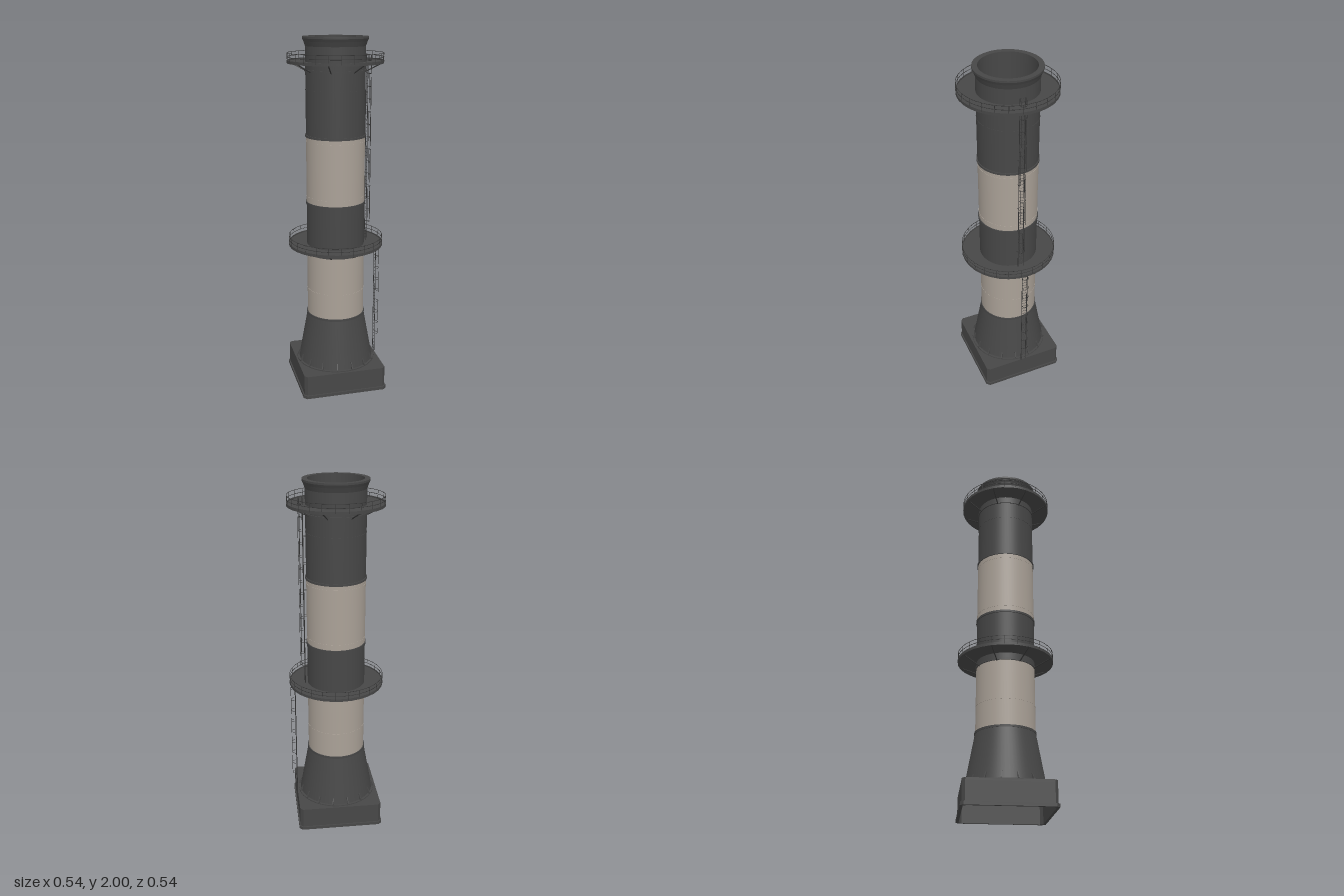
import * as THREE from 'three';
import { mergeGeometries } from 'three/addons/utils/BufferGeometryUtils.js';

const mat = (name, color, side = THREE.FrontSide) =>
  new THREE.MeshStandardMaterial({ name, color, side });

export function createModel() {
  const model = new THREE.Group();
  model.name = 'chimney';
  const dark = mat('dark grey', 0x474747);
  const pale = mat('pale stone', 0xaaa197);
  const steel = mat('steel', 0x363636);

  const add = (name, geometry, material, parent = model) => {
    const mesh = new THREE.Mesh(geometry, material);
    mesh.name = name;
    parent.add(mesh);
    return mesh;
  };

  // Turned part with sharp profile corners, smooth around the axis
  const turned = (points, segments = 64) => mergeGeometries(
    points.slice(1).map((p, i) => new THREE.LatheGeometry(
      [new THREE.Vector2(...points[i]), new THREE.Vector2(...p)], segments)));

  // Rectangular ring
  const ring = (r0, r1, y0, y1, segments) =>
    turned([[r0, y0], [r1, y0], [r1, y1], [r0, y1], [r0, y0]], segments);

  // Thin round bar between two points
  const bar = (a, b, r = 0.0015) => {
    const from = new THREE.Vector3(...a), to = new THREE.Vector3(...b);
    const d = to.clone().sub(from);
    const g = new THREE.CylinderGeometry(r, r, d.length(), 5);
    g.applyQuaternion(new THREE.Quaternion().setFromUnitVectors(
      new THREE.Vector3(0, 1, 0), d.normalize()));
    return g.translate(...from.add(to).multiplyScalar(0.5).toArray());
  };

  const polar = (r, y, a) => [r * Math.cos(a), y, r * Math.sin(a)];

  // Square slab with cut corners, optionally hollow
  const outline = (s, c) => [[-s + c, -s], [s - c, -s], [s, -s + c], [s, s - c],
    [s - c, s], [-s + c, s], [-s, s - c], [-s, -s + c]].map(p => new THREE.Vector2(...p));
  const slab = (s, c, y0, y1, inner) => {
    const shape = new THREE.Shape(outline(s, c));
    if (inner) shape.holes.push(new THREE.Path(outline(inner, c).reverse()));
    return new THREE.ExtrudeGeometry(shape, { depth: y1 - y0, bevelEnabled: false })
      .rotateX(-Math.PI / 2).translate(0, y0, 0);
  };

  // Hollow square base
  add('baseWalls', slab(0.238, 0.016, 0, 0.122, 0.23), dark);
  add('baseTop', slab(0.238, 0.016, 0.122, 0.135), dark);
  add('baseLip', slab(0.245, 0.018, 0, 0.018, 0.237), dark);

  // Foot cone and coloured shaft bands
  add('footFlange', ring(0.2, 0.228, 0.135, 0.141), dark);
  add('footCone', turned([[0.217, 0.135], [0.164, 0.43]]), dark);
  const R = 0.163;
  add('lowerPaleBand', turned([[R, 0.43], [R, 0.81]]), pale);
  add('middleDarkBand', turned([[R, 0.81], [R, 1.095]]), dark);
  add('upperPaleBand', turned([[R, 1.095], [R, 1.467]]), pale);
  add('topDarkBand', turned([[R, 1.467], [R, 1.95], [0.172, 1.975], [0.179, 1.99],
    [0.179, 2], [0.15, 2], [0.15, 0.136]]), dark);
  for (const y of [0.428, 0.806, 1.093, 1.47])
    add('jointRing', ring(R - 0.005, 0.168, y - 0.006, y + 0.006), dark);
  for (const [y, m] of [[0.58, pale], [1.13, pale], [1.44, pale], [1.72, dark]])
    add('weldSeam', ring(R - 0.003, R + 0.0012, y - 0.002, y + 0.002), m);

  // Triangular gussets around the foot
  const gusset = new THREE.Shape([[0.2, 0], [0.228, 0], [0.228, 0.008], [0.212, 0.042], [0.2, 0.042]]
    .map(p => new THREE.Vector2(...p)));
  const gussets = [];
  for (let i = 0; i < 16; i++) {
    gussets.push(new THREE.ExtrudeGeometry(gusset, { depth: 0.006, bevelEnabled: false })
      .translate(0, 0.138, -0.003).rotateY((i + 0.5) * Math.PI / 8));
  }
  add('gussets', mergeGeometries(gussets), dark);

  // Round service platforms with railing and struts
  const platform = (name, y, r) => {
    const g = new THREE.Group();
    g.name = name;
    model.add(g);
    add('deck', ring(R - 0.005, r, y - 0.006, y + 0.002, 32), dark, g);
    add('toePlate', ring(r - 0.003, r, y, y + 0.01, 32), dark, g);
    add('collar', ring(R - 0.005, 0.169, y - 0.048, y - 0.038), dark, g);
    const bars = [], struts = [];
    for (const h of [0.027, 0.048])
      bars.push(new THREE.TorusGeometry(r - 0.002, 0.0015, 5, 48)
        .rotateX(Math.PI / 2).translate(0, y + h, 0));
    for (let i = 0; i < 24; i++) {
      const a = (i + 0.5) * Math.PI / 12;
      bars.push(bar(polar(r - 0.002, y, a), polar(r - 0.002, y + 0.048, a), 0.0013));
    }
    for (let i = 0; i < 8; i++) {
      const a = (i + 0.5) * Math.PI / 4;
      struts.push(bar(polar(R - 0.002, y - 0.05, a), polar(r - 0.012, y - 0.004, a), 0.0035));
    }
    add('railing', mergeGeometries(bars), steel, g);
    add('struts', mergeGeometries(struts), steel, g);
  };
  platform('lowerPlatform', 0.847, 0.268);
  platform('upperPlatform', 1.866, 0.262);

  // Caged ladders on the left side
  const ladder = (name, x, y0, y1, cage0, cage1, cageBars) => {
    const w = 0.016, parts = [];
    for (const z of [-w, w]) parts.push(bar([x, y0, z], [x, y1, z], 0.002));
    for (let y = y0 + 0.015; y < y1; y += 0.02)
      parts.push(bar([x, y, -w], [x, y, w], 0.001));
    for (let y = cage0; y <= cage1; y += 0.07)
      parts.push(new THREE.TorusGeometry(0.019, 0.0015, 4, 10, Math.PI)
        .rotateX(Math.PI / 2).rotateY(Math.PI / 2).translate(x + 0.006, y, 0));
    for (const a of cageBars) {
      const px = x + 0.006 + 0.019 * Math.cos(a), pz = 0.019 * Math.sin(a);
      parts.push(bar([px, cage0, pz], [px, cage1, pz], 0.0012));
    }
    add(name, mergeGeometries(parts), steel);
  };
  ladder('lowerLadder', 0.238, 0.135, 0.847, 0.25, 0.82, [0]);
  ladder('upperLadder', 0.178, 0.849, 1.905, 0.96, 1.9, [-0.9, 0, 0.9]);

  // Brackets tying the upper ladder to the shaft
  const brackets = [];
  for (let y = 0.95; y < 1.85; y += 0.15)
    for (const z of [-0.016, 0.016]) brackets.push(bar([R - 0.005, y, z], [0.178, y, z]));
  add('ladderBrackets', mergeGeometries(brackets), steel);

  return model;
}
